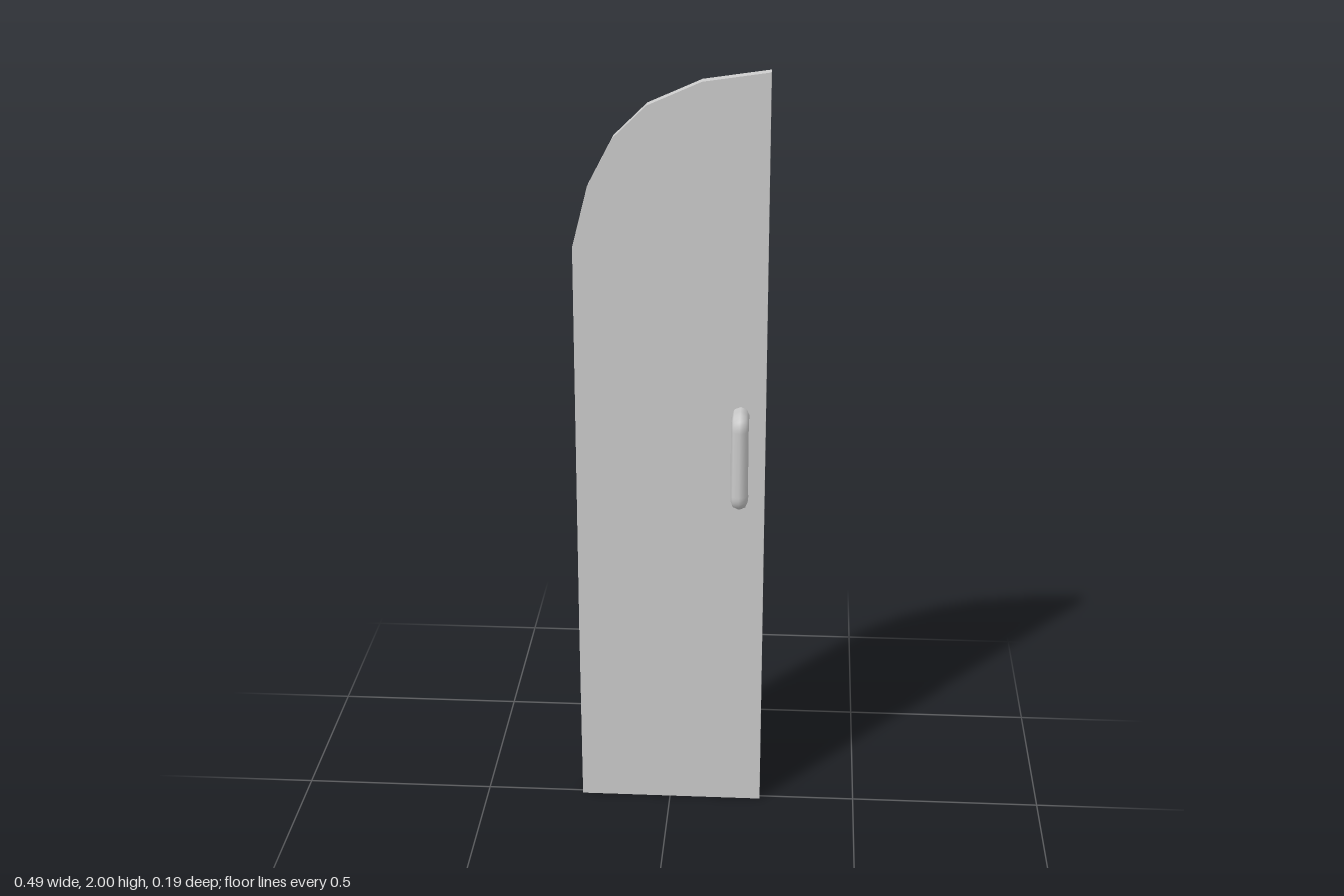
import * as THREE from 'three';

const GREY = 0xcccccc;
const MID_Z = -0.003; // middle of the panel thickness
const THICKNESS = 0.036;

// Flat door leaf with a faceted quarter-arch top
function createPanel() {
  const outline = [
    [-0.24, 0], [0.245, 0], [0.245, 2], [0.077, 1.975], [-0.058, 1.915],
    [-0.142, 1.833], [-0.206, 1.71], [-0.245, 1.555], [-0.243, 0.5],
  ].map(([x, y]) => new THREE.Vector2(x, y));
  const geometry = new THREE.ExtrudeGeometry(new THREE.Shape(outline), {
    depth: THICKNESS, bevelEnabled: false,
  });
  geometry.translate(0, 0, MID_Z - THICKNESS / 2);
  const panel = new THREE.Mesh(geometry, new THREE.MeshStandardMaterial({ color: GREY, flatShading: true }));
  panel.name = 'doorPanel';
  return panel;
}

// D-shaped pull handle: two arms and a grip with tightly rounded bends
function createHandle(side, name) {
  const x = 0.181, low = 0.898, high = 1.119, bend = 0.022, radius = 0.0225;
  const gripZ = MID_Z + side * 0.0735;
  const p = (y, z) => new THREE.Vector3(x, y, z);
  const path = new THREE.CurvePath();
  path.add(new THREE.LineCurve3(p(low, MID_Z), p(low, gripZ - side * bend)));
  path.add(new THREE.QuadraticBezierCurve3(p(low, gripZ - side * bend), p(low, gripZ), p(low + bend, gripZ)));
  path.add(new THREE.LineCurve3(p(low + bend, gripZ), p(high - bend, gripZ)));
  path.add(new THREE.QuadraticBezierCurve3(p(high - bend, gripZ), p(high, gripZ), p(high, gripZ - side * bend)));
  path.add(new THREE.LineCurve3(p(high, gripZ - side * bend), p(high, MID_Z)));
  const handle = new THREE.Mesh(
    new THREE.TubeGeometry(path, 64, radius, 8, false),
    new THREE.MeshStandardMaterial({ color: GREY }),
  );
  handle.name = name;
  return handle;
}

export function createModel() {
  const door = new THREE.Group();
  door.name = 'archedDoor';
  door.add(createPanel(), createHandle(1, 'frontHandle'), createHandle(-1, 'backHandle'));
  return door;
}
